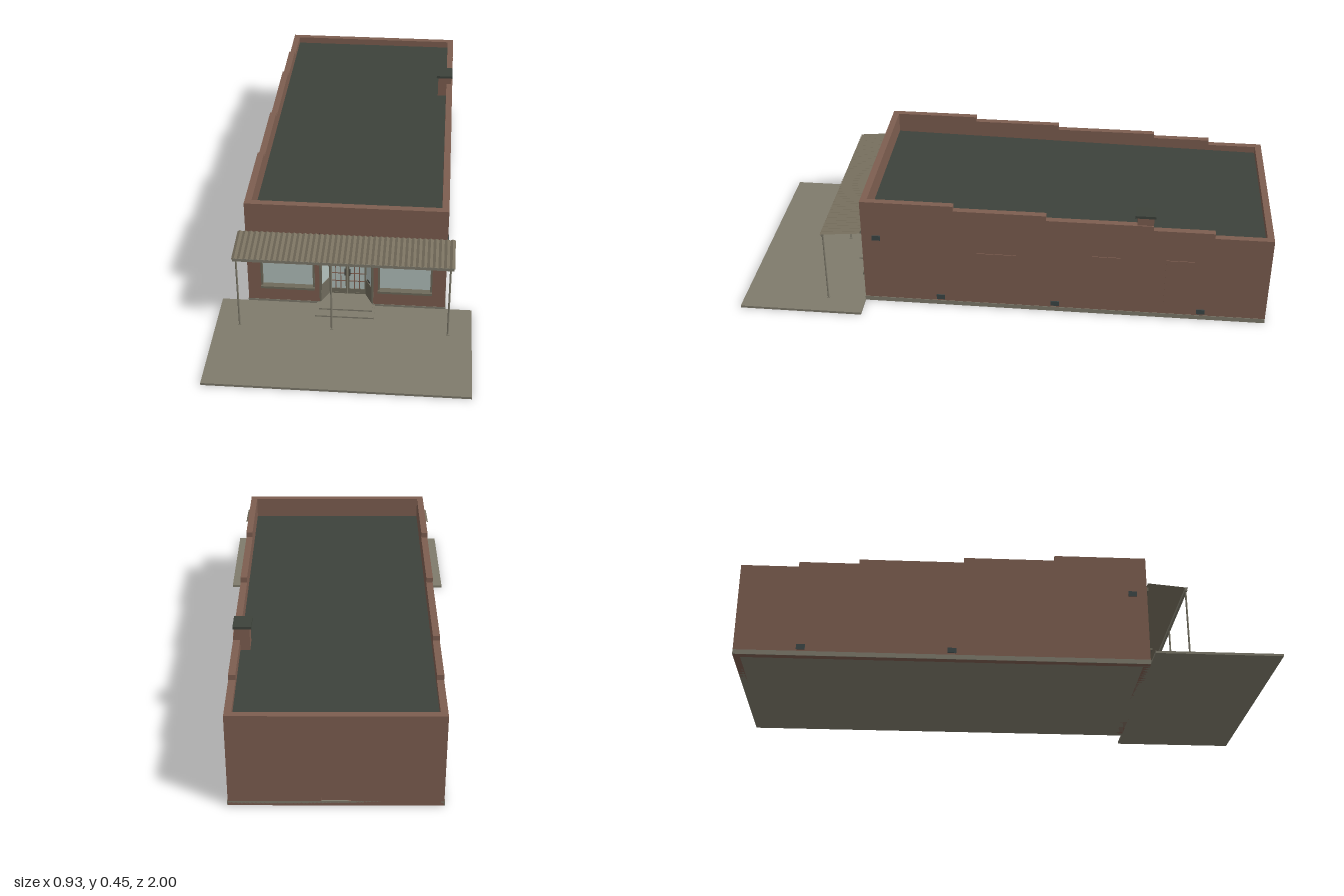
import * as THREE from 'three';

const mat = (name, color) => {
  const m = new THREE.MeshStandardMaterial({ color });
  m.name = name;
  return m;
};

export function createModel() {
  const brick = mat('brick', 0x7d5e50);
  const concrete = mat('concrete', 0x7f7b6c);
  const trim = mat('trim', 0x6e6a5b);
  const roofing = mat('roofing', 0x3d423b);
  const glass = mat('glass', 0xb2c0bc);
  const dark = mat('dark metal', 0x2f302d);
  const vent = mat('vent grey', 0x3c4747);
  const sheet = mat('canopy sheet', 0x78705f);
  sheet.side = THREE.DoubleSide;

  const model = new THREE.Group();
  model.name = 'shopBuilding';

  const add = (name, geo, material, parent = model) => {
    const m = new THREE.Mesh(geo, material);
    m.name = name;
    parent.add(m);
    return m;
  };
  // box given by its minimum and maximum on each axis
  const box = (name, material, x0, x1, y0, y1, z0, z1, parent = model) => {
    const m = add(name, new THREE.BoxGeometry(x1 - x0, y1 - y0, z1 - z0), material, parent);
    m.position.set((x0 + x1) / 2, (y0 + y1) / 2, (z0 + z1) / 2);
    return m;
  };
  const rect = (x0, x1, y0, y1, Type = THREE.Path) => new Type([
    [x0, y0], [x1, y0], [x1, y1], [x0, y1]].map(p => new THREE.Vector2(...p)));
  // rectangular frame: outer rectangle with one opening, border b
  const frame = (name, material, x0, x1, y0, y1, b, z, depth, parent = model) => {
    const s = rect(x0, x1, y0, y1, THREE.Shape);
    s.holes.push(rect(x0 + b, x1 - b, y0 + b, y1 - b));
    const m = add(name, new THREE.ExtrudeGeometry(s, { depth, bevelEnabled: false }), material, parent);
    m.position.z = z;
    return m;
  };

  const W = 0.367, T = 0.025, F = 0.53, B = -1;

  // side walls with stepped parapets
  const steps = [[F, 0.445], [0.18, 0.425], [-0.165, 0.405], [-0.56, 0.387], [-0.785, 0.367], [B, 0]];
  const side = new THREE.Shape();
  side.moveTo(B, 0);
  side.lineTo(F, 0);
  for (let i = 0; i < steps.length - 1; i++) {
    side.lineTo(steps[i][0], steps[i][1]);
    side.lineTo(steps[i + 1][0], steps[i][1]);
  }
  side.closePath();
  const sideGeo = new THREE.ExtrudeGeometry(side, { depth: T, bevelEnabled: false }).rotateY(-Math.PI / 2);
  add('leftWall', sideGeo, brick).position.x = W;
  add('rightWall', sideGeo, brick).position.x = -W + T;

  // front wall with two windows and an entrance
  const front = rect(-W + T, W - T, 0, 0.445, THREE.Shape);
  front.holes.push(rect(-0.097, 0.097, 0.018, 0.236));
  for (const s of [-1, 1]) front.holes.push(rect(s * 0.217 - 0.096, s * 0.217 + 0.096, 0.087, 0.266));
  add('frontWall', new THREE.ExtrudeGeometry(front, { depth: T, bevelEnabled: false }), brick).position.z = F - T;

  // back wall with a shallow blocked doorway
  const back = rect(-W + T, W - T, 0, 0.367, THREE.Shape);
  back.holes.push(rect(-0.05, 0.05, 0.018, 0.23));
  add('backWall', new THREE.ExtrudeGeometry(back, { depth: T, bevelEnabled: false }), brick).position.z = B;
  box('backDoor', brick, -0.052, 0.052, 0.01, 0.235, B + 0.006, B + 0.02);

  // roof falling slightly to the back
  const deck = new THREE.BoxGeometry(2 * (W - T), 0.01, F - B - 2 * T);
  const p = deck.attributes.position;
  for (let i = 0; i < p.count; i++) p.setY(i, p.getY(i) + (p.getZ(i) > 0 ? 0.36 : 0.335));
  deck.computeVertexNormals();
  add('roofDeck', deck, roofing).position.z = (F + B) / 2;

  // foundation, patio and steps
  box('foundation', concrete, -W - 0.002, W + 0.002, 0, 0.018, B, F + 0.001);
  box('patio', concrete, -0.467, 0.467, 0, 0.009, F, 1);
  box('lowerStep', concrete, -0.11, 0.107, 0.009, 0.015, F, 0.61);
  box('upperStep', concrete, -0.098, 0.098, 0.009, 0.021, 0.47, 0.575);

  // chimney
  box('chimney', brick, 0.307, 0.362, 0.33, 0.437, -0.56, -0.5);
  box('chimneyCap', roofing, 0.3, 0.366, 0.436, 0.446, -0.567, -0.49);

  // blocked openings on the left wall
  for (const [z0, z1, y0, y1] of [[-0.055, 0.095, 0.14, 0.245], [-0.445, -0.34, 0.05, 0.26], [-0.72, -0.615, 0.058, 0.26]])
    box('blockedOpening', brick, W - 0.005, W + 0.003, y0, y1, z0, z1);

  // wall vents
  for (const [s, z, y] of [[1, 0.475, 0.29], [1, 0.235, 0.035], [1, -0.205, 0.035], [1, -0.757, 0.035],
    [-1, 0.475, 0.29], [-1, -0.205, 0.035], [-1, -0.757, 0.035]])
    box('vent', vent, s * W - 0.004, s * W + 0.004, y - 0.01, y + 0.01, z - 0.016, z + 0.016);

  // display windows
  for (const s of [-1, 1]) {
    const c = s * 0.217, x0 = c - 0.1, x1 = c + 0.1;
    frame('windowFrame', trim, x0, x1, 0.083, 0.269, 0.007, F - 0.015, 0.022);
    box('windowGlass', glass, c - 0.095, c + 0.095, 0.088, 0.264, F - 0.012, F - 0.006);
    box('windowSill', trim, x0, x1, 0.081, 0.09, F - 0.01, F + 0.018);
    // masonry joint above the entrance
    box('wallJoint', dark, s * 0.095 - 0.001, s * 0.095 + 0.001, 0.236, 0.33, F, F + 0.001);
  }

  // recessed entrance
  const D = 0.475;
  box('entranceCeiling', trim, -0.1, 0.1, 0.23, 0.238, D - 0.01, F + 0.003);
  box('doorHead', trim, -0.07, 0.07, 0.224, 0.232, D - 0.006, D + 0.006);

  // angled sidelights
  for (const s of [-1, 1]) {
    const g = new THREE.Group();
    g.name = 'sidelight';
    g.position.set(s * 0.0815, 0, (F + D) / 2);
    g.rotation.y = -s * Math.atan2(0.055, 0.027);
    model.add(g);
    box('sidelightPanel', trim, -0.031, 0.031, 0.018, 0.092, -0.004, 0.002, g);
    frame('sidelightFrame', trim, -0.031, 0.031, 0.088, 0.232, 0.005, -0.004, 0.007, g);
    box('sidelightGlass', glass, -0.028, 0.028, 0.09, 0.23, -0.004, 0, g);
    if (s > 0) box('mailSlot', dark, -0.01, 0.01, 0.099, 0.103, 0, 0.003, g);
    box('entrancePost', trim, s * 0.097 - 0.003, s * 0.097 + 0.003, 0.018, 0.236, F - 0.004, F + 0.003);
  }

  // pair of glazed doors, three panes by five
  for (const s of [-1, 1]) {
    const g = new THREE.Group();
    g.name = 'door';
    g.position.set(s * 0.035, 0, D);
    model.add(g);
    frame('doorFrame', trim, -0.034, 0.034, 0.02, 0.226, 0.006, -0.004, 0.008, g);
    box('doorGlass', glass, -0.03, 0.03, 0.04, 0.222, -0.004, 0, g);
    box('kickPanel', trim, -0.03, 0.03, 0.022, 0.043, -0.003, 0.003, g);
    for (const x of [-0.0095, 0.0095]) box('glazingBar', brick, x - 0.0015, x + 0.0015, 0.043, 0.22, -0.001, 0.002, g);
    for (let i = 1; i < 5; i++) {
      const y = 0.043 + i * 0.0355;
      box('glazingBar', brick, -0.028, 0.028, y - 0.0015, y + 0.0015, -0.001, 0.002, g);
    }
    box('doorHandle', dark, -s * 0.026 - 0.0015, -s * 0.026 + 0.0015, 0.11, 0.136, 0.003, 0.011, g);
  }

  // ribbed canopy sloping to the front
  const ribs = 40, row = [];
  for (let i = 0; i <= ribs * 2; i++) row.push([-0.395 + i * 0.79 / (ribs * 2), i % 2 ? 0.005 : 0]);
  const pos = [], idx = [];
  row.forEach(([x, y], i) => {
    pos.push(x, y + 0.309, 0.682, x, y + 0.323, F);
    if (i) {
      const a = 2 * i - 2;
      idx.push(a, a + 2, a + 3, a, a + 3, a + 1);
    }
  });
  const indexed = new THREE.BufferGeometry();
  indexed.setAttribute('position', new THREE.Float32BufferAttribute(pos, 3));
  indexed.setIndex(idx);
  const canopy = indexed.toNonIndexed();
  canopy.computeVertexNormals();
  add('canopySheet', canopy, sheet);
  box('canopyBeam', concrete, -0.393, 0.393, 0.297, 0.309, 0.67, 0.679);
  box('canopyLedger', trim, -W, W, 0.306, 0.32, F, F + 0.006);
  for (const x of [-0.38, -0.042, 0.38]) {
    const post = add('canopyPost', new THREE.CylinderGeometry(0.0035, 0.0035, 0.29, 8), concrete);
    post.position.set(x, 0.153, 0.675);
    box('postFoot', concrete, x - 0.006, x + 0.006, 0.009, 0.012, 0.669, 0.681);
  }
  return model;
}
